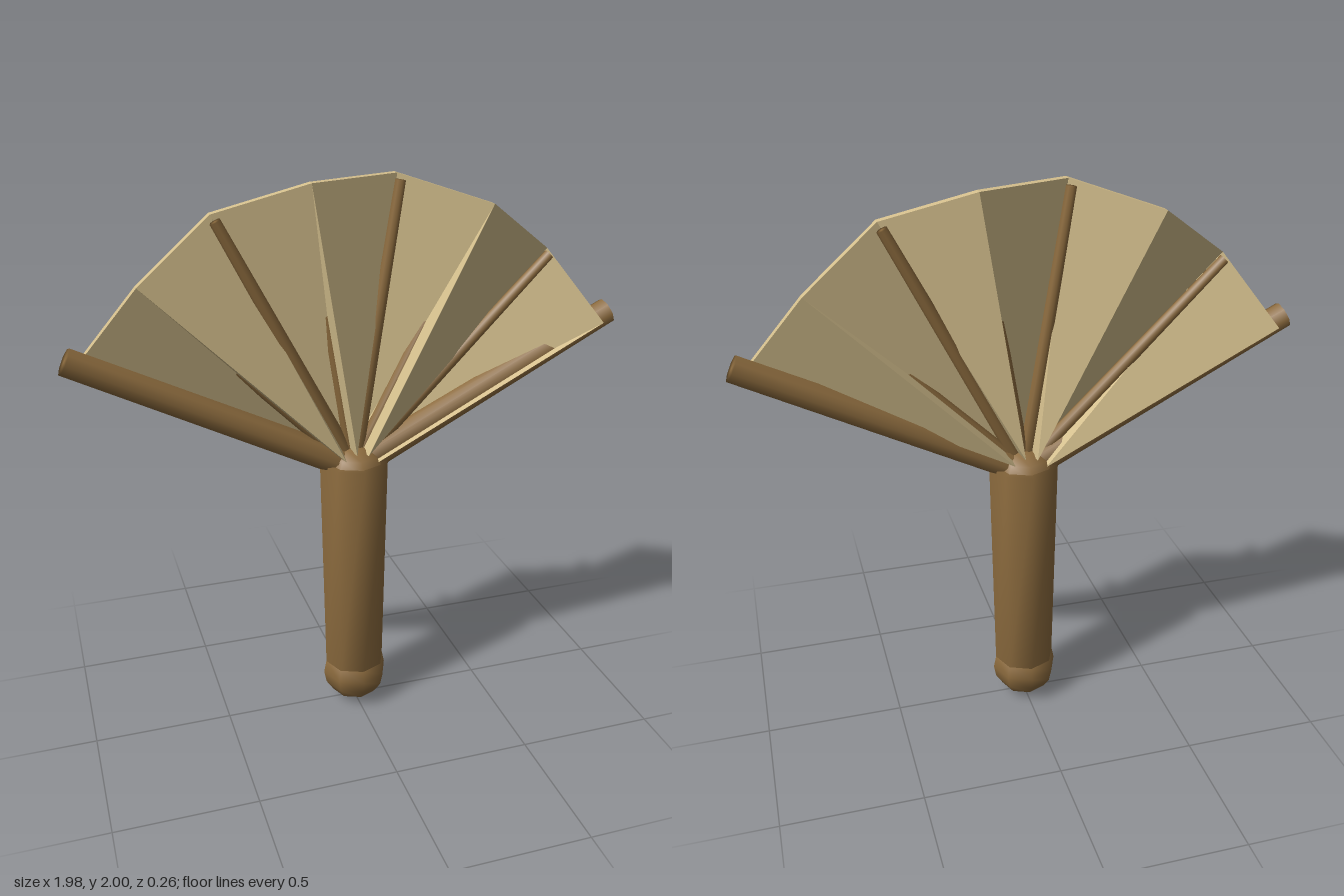
import * as THREE from 'three';
import { mergeVertices } from 'three/addons/utils/BufferGeometryUtils.js';

const PIVOT_Y = 0.98;
const FOLDS = 8, STEP = Math.PI / 10;      // 18 degrees between folds
const foldAngle = i => (i - (FOLDS - 1) / 2) * STEP;

// Pleated sheet: zigzag cross-sections at an inner and an outer radius
function pleatGeometry(inner, outer, amp, thick) {
  const pos = [];
  const quad = (a, b, c, d) => [a, b, c, a, c, d].forEach(p => pos.push(...p));
  const section = i => {
    const a = foldAngle(i), mid = (i % 2 ? 1 : -1) * (amp - thick / 2);
    const at = (r, z) => [Math.sin(a) * r, PIVOT_Y + Math.cos(a) * r, z];
    const f = mid + thick / 2, b = mid - thick / 2;
    return { fi: at(inner, f), fo: at(outer, f), bi: at(inner, b), bo: at(outer, b) };
  };
  // Both faces share the diagonal from the inner left to the outer right corner
  for (let i = 0; i < FOLDS - 1; i++) {
    const p = section(i), q = section(i + 1);
    quad(p.fi, q.fi, q.fo, p.fo);          // front
    quad(p.bi, p.bo, q.bo, q.bi);          // back
    quad(p.fo, q.fo, q.bo, p.bo);          // rim
    quad(p.bi, q.bi, q.fi, p.fi);          // inner edge
  }
  const s = section(0), e = section(FOLDS - 1);
  quad(s.bi, s.fi, s.fo, s.bo);
  quad(e.fi, e.bi, e.bo, e.fo);
  const g = new THREE.BufferGeometry();
  g.setAttribute('position', new THREE.Float32BufferAttribute(pos, 3));
  g.computeVertexNormals();
  return g;
}

// Eight-sided rod with normals smoothed over its ends
function smoothRod(rTop, rBottom, length) {
  const g = new THREE.CylinderGeometry(rTop, rBottom, length, 8);
  g.deleteAttribute('normal');
  g.deleteAttribute('uv');
  const merged = mergeVertices(g);
  merged.computeVertexNormals();
  return merged;
}

export function createModel() {
  const wood = new THREE.MeshStandardMaterial({ color: 0x8c6b3e });
  wood.name = 'wood';
  const paper = new THREE.MeshStandardMaterial({ color: 0xd3be8c, side: THREE.DoubleSide });
  paper.name = 'paper';

  const model = new THREE.Group();
  model.name = 'foldingFan';
  const add = (name, geometry, material) => {
    const mesh = new THREE.Mesh(geometry, material);
    mesh.name = name;
    model.add(mesh);
    return mesh;
  };

  // Rod running outward from the pivot at an angle from straight up
  const rod = (name, angle, from, to, rInner, rOuter) => {
    const g = smoothRod(rOuter, rInner, to - from);
    g.translate(0, (from + to) / 2, 0);
    const mesh = add(name, g, wood);
    mesh.position.y = PIVOT_Y;
    mesh.rotation.z = -angle;
  };

  // Handle with rounded ends
  add('handle', smoothRod(0.128, 0.112, 0.87), wood).position.y = 0.57;
  add('pommel', new THREE.SphereGeometry(0.122, 8, 8), wood).position.y = 0.122;
  add('hub', new THREE.SphereGeometry(0.125, 8, 8), wood).position.y = 0.94;

  // Pleated leaf
  add('leaf', pleatGeometry(0.07, 1.032, 0.07, 0.03), paper);

  // One slim rib along every inner fold
  for (let i = 1; i < FOLDS - 1; i++) rod('rib', foldAngle(i), 0.06, 1.015, 0.027, 0.019);

  // Heavy guard sticks along both ends
  for (const i of [0, FOLDS - 1]) rod('guardStick', foldAngle(i), 0.04, 1.085, 0.054, 0.048);

  return model;
}
